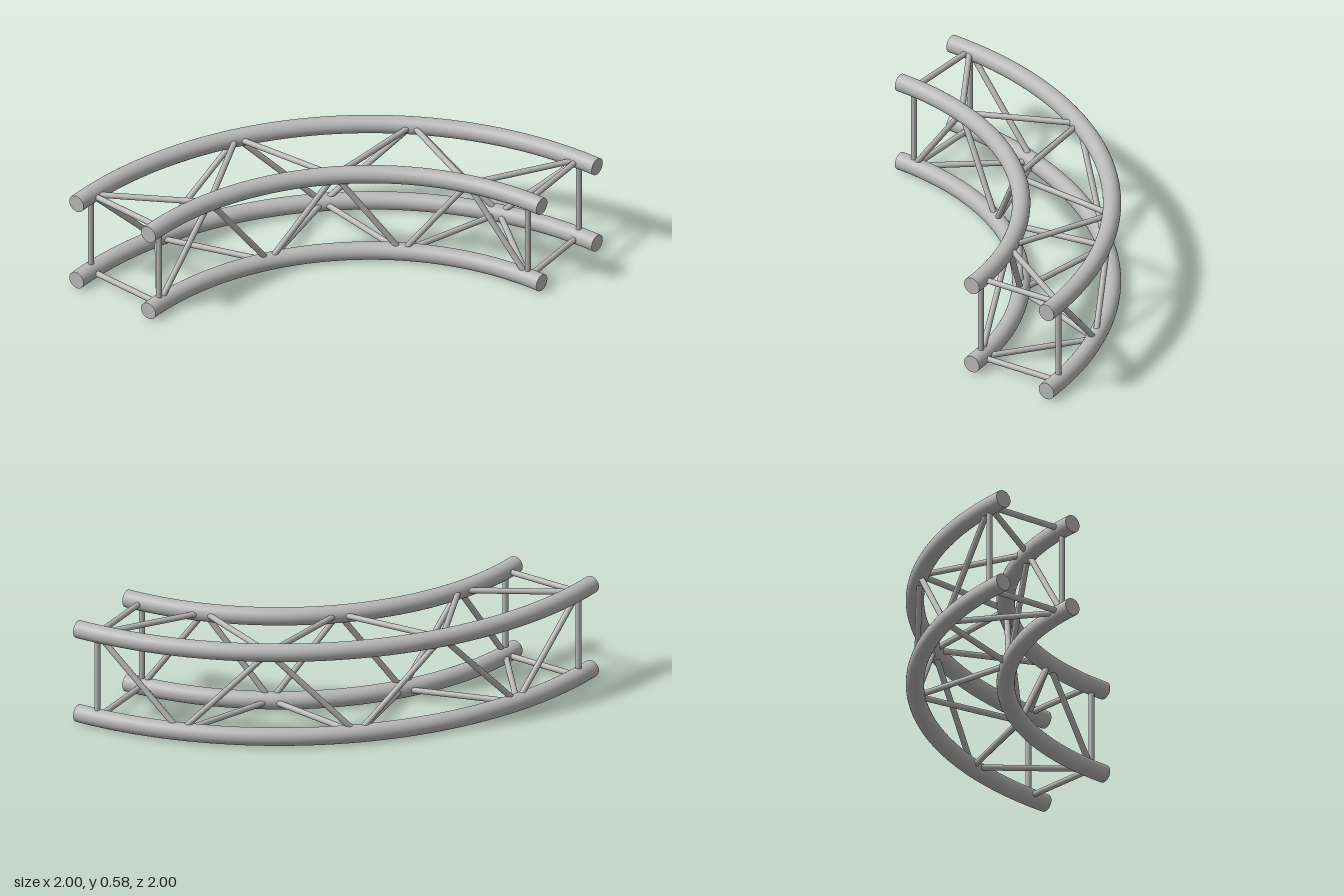
import * as THREE from 'three';

const TUBE = 0.048, BRACE = 0.016;
const OUTER = 1.952, INNER = 1.475;
const LOW = 0.048, HIGH = 0.53;
const BAYS = 6, FIRST = 3.5, LAST = 86.5;

export function createModel() {
  const group = new THREE.Group();
  const metal = new THREE.MeshStandardMaterial({ color: 0xb8b8b8 });
  metal.name = 'aluminium grey';

  function add(name, geometry) {
    const mesh = new THREE.Mesh(geometry, metal);
    mesh.name = name;
    group.add(mesh);
    return mesh;
  }

  // Point on a main tube's centre line at a numbered bracing node
  function node(radius, i, y) {
    const a = THREE.MathUtils.degToRad(FIRST + (LAST - FIRST) * i / BAYS);
    return new THREE.Vector3(-1 + radius * Math.sin(a), y, 1 - radius * Math.cos(a));
  }

  // Round bar between two points
  function brace(name, a, b) {
    const dir = b.clone().sub(a);
    const mesh = add(name, new THREE.CylinderGeometry(BRACE, BRACE, dir.length(), 16));
    mesh.position.copy(a).add(b).multiplyScalar(0.5);
    mesh.quaternion.setFromUnitVectors(new THREE.Vector3(0, 1, 0), dir.normalize());
  }

  // Four quarter-circle main tubes with closed ends
  for (const [side, r] of [['outer', OUTER], ['inner', INNER]]) {
    for (const [level, y] of [['Lower', LOW], ['Upper', HIGH]]) {
      const tube = new THREE.TorusGeometry(r, TUBE, 32, 72, Math.PI / 2);
      tube.rotateX(-Math.PI / 2);
      add(side + level + 'Tube', tube).position.set(-1, y, 1);
      add(side + level + 'FrontCap', new THREE.CircleGeometry(TUBE, 32)).position.set(r - 1, y, 1);
      const cap = add(side + level + 'SideCap', new THREE.CircleGeometry(TUBE, 32));
      cap.position.set(-1, y, 1 - r);
      cap.rotation.y = -Math.PI / 2;
    }
  }

  // Square frames near both ends
  for (const i of [0, BAYS]) {
    brace('outerEndPost', node(OUTER, i, LOW), node(OUTER, i, HIGH));
    brace('innerEndPost', node(INNER, i, LOW), node(INNER, i, HIGH));
    brace('lowerEndBar', node(OUTER, i, LOW), node(INNER, i, LOW));
    brace('upperEndBar', node(OUTER, i, HIGH), node(INNER, i, HIGH));
  }

  // Zigzag bracing on all four faces, meeting at shared nodes
  for (let i = 0; i < BAYS; i++) {
    const even = i % 2 === 0;
    const [y0, y1] = even ? [HIGH, LOW] : [LOW, HIGH];
    const [r0, r1] = even ? [OUTER, INNER] : [INNER, OUTER];
    brace('outerDiagonal', node(OUTER, i, y0), node(OUTER, i + 1, y1));
    brace('innerDiagonal', node(INNER, i, y1), node(INNER, i + 1, y0));
    brace('upperDiagonal', node(r0, i, HIGH), node(r1, i + 1, HIGH));
    brace('lowerDiagonal', node(r1, i, LOW), node(r0, i + 1, LOW));
  }

  return group;
}
